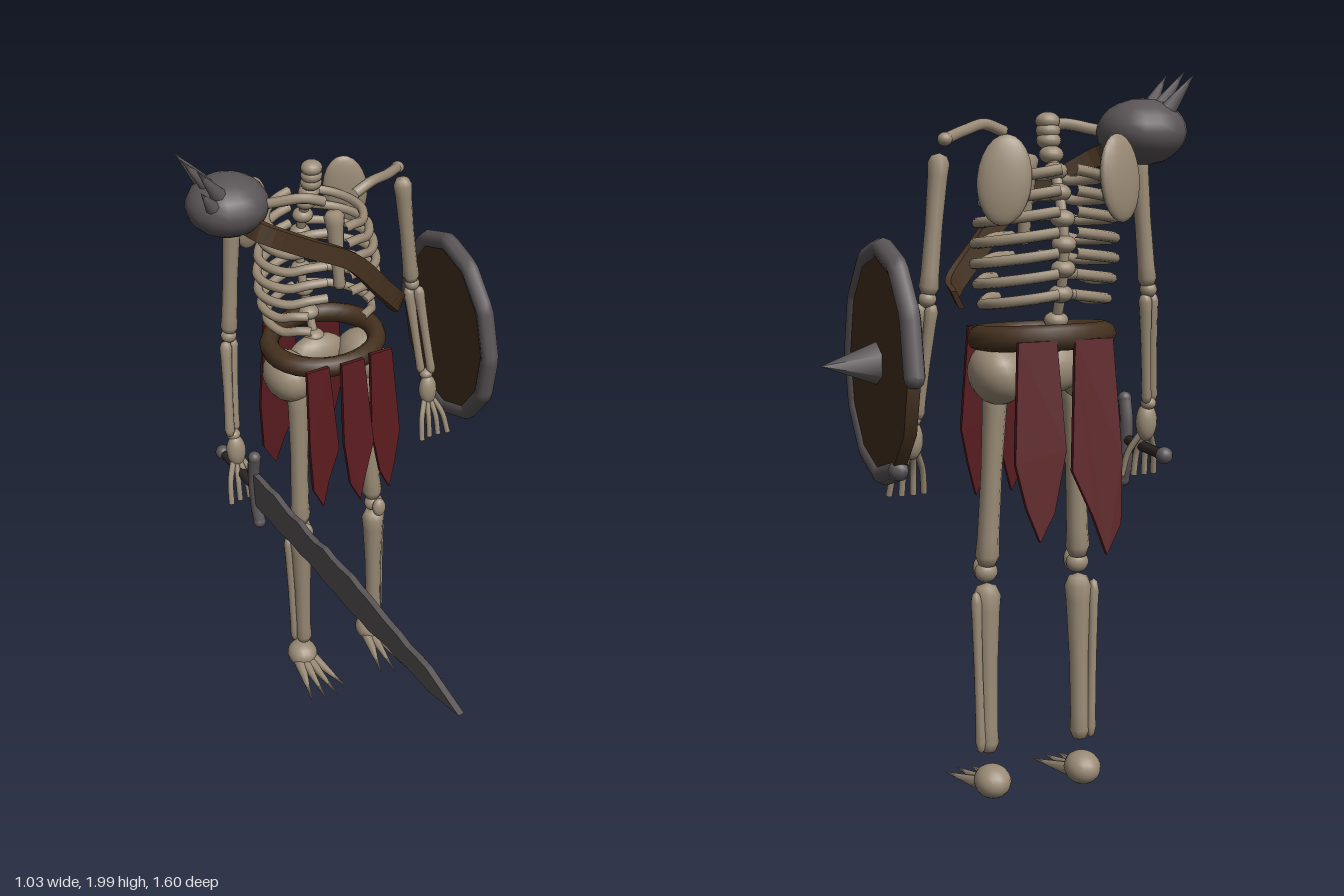
import * as THREE from 'three';

const V = (x, y, z) => new THREE.Vector3(x, y, z);
const mat = (name, color, double) => {
  const m = new THREE.MeshStandardMaterial({ color });
  m.name = name;
  if (double) m.side = THREE.DoubleSide;
  return m;
};

export function createModel() {
  const root = new THREE.Group();
  root.name = 'skeletonWarrior';
  const bone = mat('bone', 0x9a8b76);
  const metal = mat('darkMetal', 0x5a5456);
  const leather = mat('leather', 0x45311f, true);
  const wood = mat('shieldWood', 0x44301f);
  const cloth = mat('redCloth', 0x5a1b1f, true);
  const blood = mat('blood', 0x780a0a);
  const grip = mat('darkGrip', 0x2c2522);
  const CX = -0.09;

  const add = (name, geo, m, pos, parent = root) => {
    const mesh = new THREE.Mesh(geo, m);
    mesh.name = name;
    if (pos) mesh.position.copy(pos);
    parent.add(mesh);
    return mesh;
  };
  const blob = (name, p, rx, ry, rz, m = bone) => {
    const b = add(name, new THREE.SphereGeometry(1, 16, 12), m, p);
    b.scale.set(rx, ry, rz);
    return b;
  };
  const aim = (mesh, a, b) => {
    mesh.position.copy(a);
    mesh.quaternion.setFromUnitVectors(V(0, 1, 0), b.clone().sub(a).normalize());
    return mesh;
  };
  // long bone with knobbed ends, from a to b
  const longBone = (name, a, b, r1, r2 = r1) => {
    const L = a.distanceTo(b), mid = (r1 + r2) / 2 * 0.82;
    const pts = [[0, 0], [r1 * 0.7, 0.02 * L], [r1, 0.07 * L], [r1 * 0.9, 0.16 * L], [mid, 0.5 * L],
      [r2 * 0.9, 0.84 * L], [r2, 0.93 * L], [r2 * 0.7, 0.98 * L], [0, L]].map(p => new THREE.Vector2(...p));
    return aim(add(name, new THREE.LatheGeometry(pts, 10), bone), a, b);
  };
  const cone = (name, a, b, r, m, sides = 8) => {
    const L = a.distanceTo(b), g = new THREE.ConeGeometry(r, L, sides);
    g.translate(0, L / 2, 0);
    return aim(add(name, g, m), a, b);
  };
  const tube = (name, pts, r, m, n = 20) =>
    add(name, new THREE.TubeGeometry(new THREE.CatmullRomCurve3(pts), n, r, 8), m);

  // helmeted head slumped over the right shoulder, with a crest of spikes
  blob('helmet', V(-0.385, 1.835, -0.55), 0.122, 0.089, 0.122, metal);
  [-1, 0, 1].forEach(i => cone('helmetSpike', V(-0.43, 1.89, -0.55 + i * 0.055),
    V(-0.515 + Math.abs(i) * 0.015, 2 - Math.abs(i) * 0.01, -0.55 + i * 0.078), 0.025, metal));
  cone('helmetSpike', V(-0.46, 1.87, -0.48), V(-0.5, 1.93, -0.46), 0.022, metal);

  // spine
  const spine = new THREE.CatmullRomCurve3([V(CX, 1.865, -0.59), V(CX, 1.81, -0.6), V(CX, 1.72, -0.65),
    V(CX, 1.58, -0.7), V(CX, 1.44, -0.69), V(CX, 1.28, -0.63)]);
  for (let i = 0; i <= 11; i++) blob('vertebra', spine.getPoint(i / 11), 0.033, 0.024, 0.032);
  add('spinalColumn', new THREE.TubeGeometry(new THREE.CatmullRomCurve3(spine.getPoints(10).slice(2)), 20, 0.015, 8), bone);
  const sternum = longBone('sternum', V(CX, 1.53, -0.44), V(CX, 1.78, -0.46), 0.02, 0.032);
  sternum.name = 'sternum';

  // ribs, one tube per side
  for (let i = 0; i < 7; i++) {
    const t = i / 6, y = 1.75 - 0.32 * t;
    const w = 0.125 + 0.07 * Math.sin(Math.PI * (0.12 + 0.65 * t)), d = 0.135;
    const end = i < 5 ? 2.95 : 2.6;
    for (const s of [-1, 1]) {
      const pts = [];
      for (let k = 0; k <= 9; k++) {
        const a = 0.12 + (end - 0.12) * k / 9;
        pts.push(V(CX + s * w * Math.sin(a), y - 0.045 * Math.sin(a * 0.6) + (k > 7 ? 0.012 : 0), -0.585 - d * Math.cos(a)));
      }
      tube('rib', pts, 0.0145, bone, 26);
    }
  }

  // mirrored skeleton parts
  for (const s of [-1, 1]) {
    const X = (dx) => CX + s * dx;
    tube('collarBone', [V(X(0.05), 1.835, -0.42), V(X(0.11), 1.855, -0.43), V(X(0.19), 1.84, -0.48), V(X(0.27), 1.82, -0.55)], 0.016, bone);
    blob('collarBoneEnd', V(X(0.27), 1.82, -0.55), 0.02, 0.018, 0.02);
    const scapula = blob('shoulderBlade', V(X(0.162), 1.72, -0.69), 0.07, 0.115, 0.024);
    scapula.rotation.set(0.08, -s * 0.35, s * 0.1);

    // arm
    longBone('upperArm', V(X(0.285), 1.785, -0.55), V(X(0.32), 1.415, -0.56), 0.029, 0.027);
    blob('elbow', V(X(0.322), 1.41, -0.56), 0.024, 0.022, 0.024);
    longBone('radius', V(X(0.338), 1.4, -0.55), V(X(0.366), 1.085, -0.515), 0.019, 0.016);
    longBone('ulna', V(X(0.31), 1.4, -0.565), V(X(0.338), 1.085, -0.535), 0.019, 0.015);
    blob('wrist', V(X(0.35), 1.085, -0.525), 0.022, 0.018, 0.022);
    blob('palm', V(X(0.35), 1.03, -0.515), 0.031, 0.055, 0.027);
    for (let f = 0; f < 4; f++) {
      const o = (f - 1.5) / 1.5;
      tube('finger', [V(X(0.35 + o * 0.016), 0.995, -0.51), V(X(0.35 + o * 0.04), 0.94, -0.487),
        V(X(0.35 + o * 0.05), 0.87, -0.482 + 0.012 * Math.abs(o))], 0.0095, bone, 8);
    }

    // hip and leg
    const hip = blob('hipBone', V(X(0.13), 1.205, -0.57), 0.075, 0.085, 0.095);
    hip.rotation.z = -s * 0.3;
    longBone('thigh', V(X(0.115), 1.19, -0.53), V(X(0.138), 0.655, -0.53), 0.037, 0.034);
    blob('knee', V(X(0.138), 0.645, -0.525), 0.033, 0.03, 0.028);
    blob('kneeCap', V(X(0.138), 0.645, -0.487), 0.024, 0.034, 0.019);
    longBone('shin', V(X(0.138), 0.615, -0.53), V(X(0.14), 0.125, -0.558), 0.039, 0.029);
    longBone('calfBone', V(X(0.178), 0.6, -0.55), V(X(0.168), 0.135, -0.57), 0.016, 0.015);
    blob('heel', V(X(0.138), 0.055, -0.582), 0.052, 0.047, 0.057);
    for (let f = 0; f < 4; f++) {
      const o = (f - 1.5) / 1.5;
      cone('toe', V(X(0.138 + o * 0.024), 0.042, -0.56), V(X(0.138 + o * 0.068), 0.008, -0.35 - 0.03 * Math.abs(o)), 0.021, bone);
    }
  }
  blob('sacrum', V(CX, 1.22, -0.62), 0.1, 0.07, 0.05);

  // ribbon of leather swept along a path, standing on edge around the body
  const ribbon = (name, path, h, thick, side) => {
    const pos = [], idx = [], n = 32;
    for (let i = 0; i <= n; i++) {
      const p = path.getPoint(i / n), t = path.getTangent(i / n);
      const out = V(p.x - CX, 0, p.z + 0.56).normalize();
      const up = side.clone().addScaledVector(t, -side.dot(t)).normalize();
      for (const [a, b] of [[1, 1], [-1, 1], [-1, -1], [1, -1]]) {
        const q = p.clone().addScaledVector(up, a * h / 2).addScaledVector(out, b * thick / 2);
        pos.push(q.x, q.y, q.z);
      }
      if (i < n) for (let k = 0; k < 4; k++) {
        const a = i * 4 + k, b = i * 4 + (k + 1) % 4;
        idx.push(a, b, a + 4, b, b + 4, a + 4);
      }
    }
    idx.push(0, 1, 2, 0, 2, 3, n * 4, n * 4 + 2, n * 4 + 1, n * 4, n * 4 + 3, n * 4 + 2);
    let g = new THREE.BufferGeometry();
    g.setAttribute('position', new THREE.Float32BufferAttribute(pos, 3));
    g.setIndex(idx);
    g = g.toNonIndexed();
    g.computeVertexNormals();
    return add(name, g, leather);
  };
  const strapPath = new THREE.CatmullRomCurve3([V(-0.35, 1.78, -0.53), V(-0.33, 1.775, -0.445), V(-0.2, 1.705, -0.415),
    V(-0.07, 1.635, -0.4), V(0.04, 1.51, -0.41), V(0.115, 1.425, -0.44), V(0.135, 1.4, -0.53)]);
  ribbon('chestStrap', strapPath, 0.055, 0.016, V(0.5, 1, 0));

  // belt
  const belt = add('belt', new THREE.TorusGeometry(1, 0.18, 8, 28), leather, V(CX - 0.002, 1.3, -0.565));
  belt.scale.set(0.174, 0.15, 0.19);
  belt.rotation.x = Math.PI / 2 + 0.1;

  // ragged hanging cloth: x, half width, top y, tip y, z, tip z, tip shift
  const strips = [[-0.205, 0.05, 1.31, 0.83, -0.39, -0.36, -0.02], [-0.09, 0.052, 1.31, 0.82, -0.38, -0.345, -0.01],
    [0.015, 0.05, 1.31, 0.82, -0.39, -0.36, 0.0], [-0.165, 0.072, 1.31, 0.74, -0.73, -0.79, -0.02],
    [-0.005, 0.072, 1.31, 0.79, -0.73, -0.785, 0.01]];
  for (const [x, w, top, tip, z, zt, shift] of strips) {
    const L = top - tip, s = new THREE.Shape();
    s.moveTo(-w * 0.75, 0);
    s.lineTo(w * 0.75, 0);
    s.lineTo(w, -L * 0.6);
    s.lineTo(w * 0.5 + shift, -L * 0.82);
    s.lineTo(shift, -L);
    s.lineTo(-w * 0.6 + shift, -L * 0.86);
    s.lineTo(-w, -L * 0.55);
    const g = new THREE.ExtrudeGeometry(s, { depth: 0.014, bevelEnabled: false });
    g.translate(0, 0, -0.007);
    const m = add('clothStrip', g, cloth, V(x, top, z));
    m.rotation.x = -Math.atan2(zt - z, L);
  }

  // shield on the left arm: faceted oval disc, broken rim, spike
  const shield = new THREE.Group();
  shield.name = 'shield';
  shield.position.set(0.342, 1.243, -0.52);
  shield.rotation.y = Math.PI / 2;
  root.add(shield);
  const disc = new THREE.CylinderGeometry(1, 1, 0.035, 12);
  disc.rotateX(Math.PI / 2);
  add('shieldBoard', disc, wood, null, shield).scale.set(0.252, 0.305, 1);
  const rimPts = [];
  for (let i = 0; i <= 10; i++) {
    const a = i * Math.PI / 6;
    rimPts.push(V(0.25 * Math.cos(a), 0.302 * Math.sin(a), 0));
  }
  const rim = new THREE.CurvePath();
  for (let i = 0; i < 10; i++) rim.add(new THREE.LineCurve3(rimPts[i], rimPts[i + 1]));
  add('shieldRim', new THREE.TubeGeometry(rim, 60, 0.029, 8), metal, null, shield);
  for (const p of [rimPts[0], rimPts[10]]) add('rimEnd', new THREE.SphereGeometry(0.029, 8, 6), metal, p, shield);
  const spike = new THREE.ConeGeometry(0.058, 0.155, 6);
  spike.rotateX(Math.PI / 2);
  add('shieldSpike', spike, metal, V(0, 0, 0.092), shield);

  // sword held forward in the right hand; shape drawn in z and y, then turned
  const SX = -0.437, SY = 0.957;
  const edge = [];
  const blade = new THREE.Shape();
  blade.moveTo(-0.4, -0.052);
  for (let i = 0; i <= 20; i++) {
    const z = -0.4 + i * 0.052;
    edge.push([z, 0.056 + 0.004 * Math.sin(i * 2.3) + 0.004 * Math.sin(i * 0.7) - (i > 14 ? (i - 14) * 0.0045 : 0)]);
  }
  edge.forEach(([z, h]) => blade.lineTo(z, -h));
  blade.lineTo(0.8, -0.004);
  edge.slice().reverse().forEach(([z, h], i) => blade.lineTo(z, h + 0.003 * Math.sin(i * 1.9)));
  const plate = (name, shape, depth, m, x) => {
    const g = new THREE.ExtrudeGeometry(shape, { depth, bevelEnabled: false });
    g.translate(0, 0, -depth / 2);
    g.rotateY(-Math.PI / 2);
    return add(name, g, m, V(x, SY, 0));
  };
  plate('swordBlade', blade, 0.018, metal, SX);
  const stain = new THREE.Shape([[0.3, -0.03], [0.42, -0.04], [0.55, -0.032], [0.66, -0.024], [0.75, -0.004],
    [0.68, 0.02], [0.6, 0.032], [0.52, 0.024], [0.4, 0.012], [0.3, 0.018]].map(p => new THREE.Vector2(...p)));
  plate('bloodStain', stain, 0.006, blood, SX + 0.01);
  tube('swordGuard', [V(SX, 0.835, -0.385), V(SX, 0.9, -0.4), V(SX, 1.01, -0.4), V(SX, 1.075, -0.385)], 0.02, metal);
  blob('guardEnd', V(SX, 0.835, -0.385), 0.02, 0.02, 0.02, metal);
  blob('guardEnd', V(SX, 1.075, -0.385), 0.02, 0.02, 0.02, metal);
  const handle = new THREE.CylinderGeometry(0.015, 0.015, 0.22, 10);
  handle.rotateX(Math.PI / 2);
  add('swordGrip', handle, grip, V(SX, SY, -0.51));
  blob('pommel', V(SX, SY, -0.63), 0.024, 0.024, 0.024, metal);

  return root;
}
